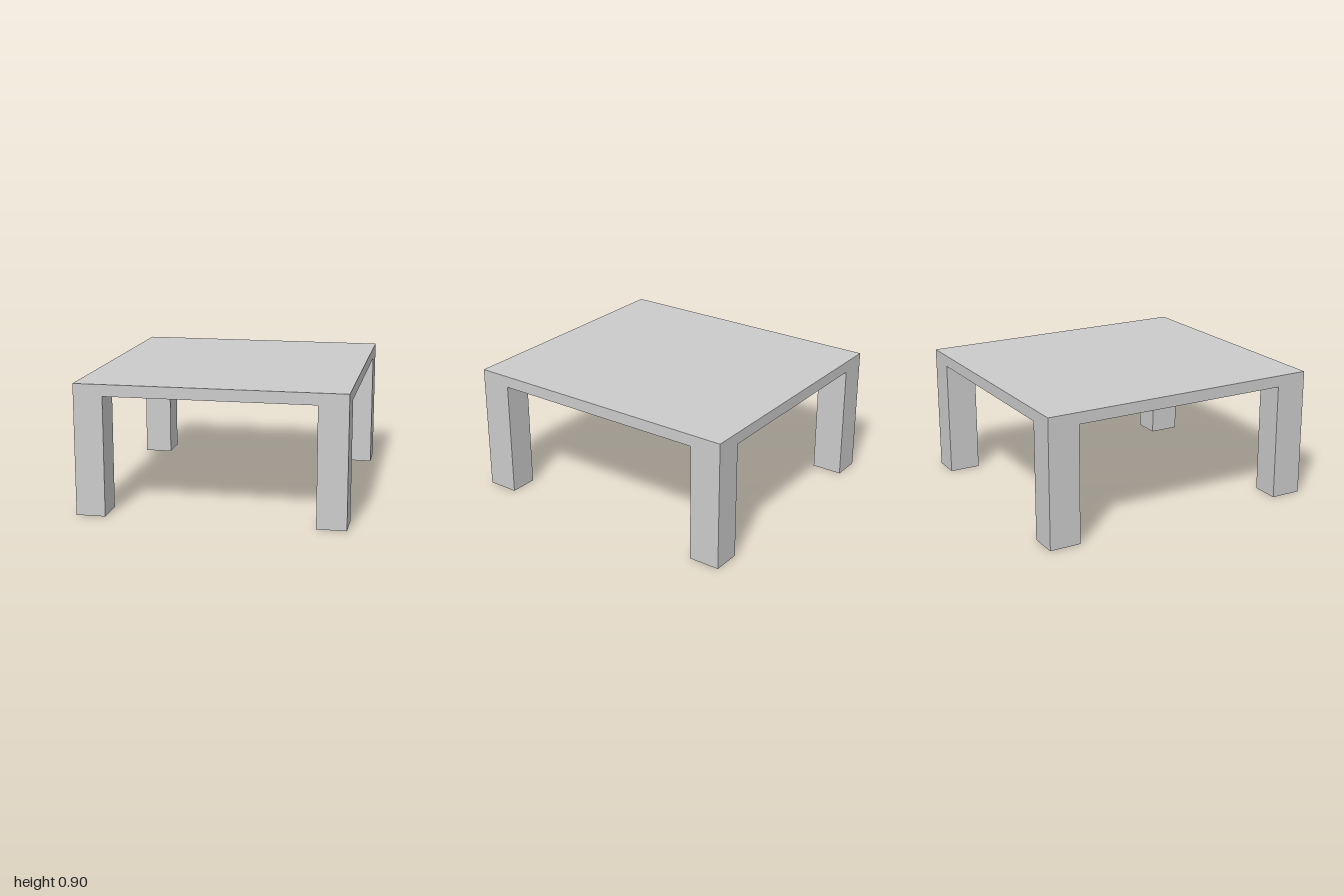
import * as THREE from 'three';

const WIDTH = 1.82, DEPTH = 2, HEIGHT = 0.9;
const TOP_THICKNESS = 0.08;
const LEG_WIDTH = 0.2, LEG_DEPTH = 0.22, LEG_HEIGHT = HEIGHT - TOP_THICKNESS;

export function createModel() {
  const table = new THREE.Group();
  table.name = 'table';
  const material = new THREE.MeshStandardMaterial({ color: 0xcccccc, flatShading: true });

  // Flat slab top
  const top = new THREE.Mesh(new THREE.BoxGeometry(WIDTH, TOP_THICKNESS, DEPTH), material);
  top.name = 'tableTop';
  top.position.y = HEIGHT - TOP_THICKNESS / 2;
  table.add(top);

  // Four rectangular legs, flush with the corners of the top
  const legGeometry = new THREE.BoxGeometry(LEG_WIDTH, LEG_HEIGHT, LEG_DEPTH);
  for (const [zName, zSide] of [['front', 1], ['back', -1]]) {
    for (const [xName, xSide] of [['Left', 1], ['Right', -1]]) {
      const leg = new THREE.Mesh(legGeometry, material);
      leg.name = `${zName}${xName}Leg`;
      leg.position.set(
        xSide * (WIDTH - LEG_WIDTH) / 2,
        LEG_HEIGHT / 2,
        zSide * (DEPTH - LEG_DEPTH) / 2
      );
      table.add(leg);
    }
  }
  return table;
}
